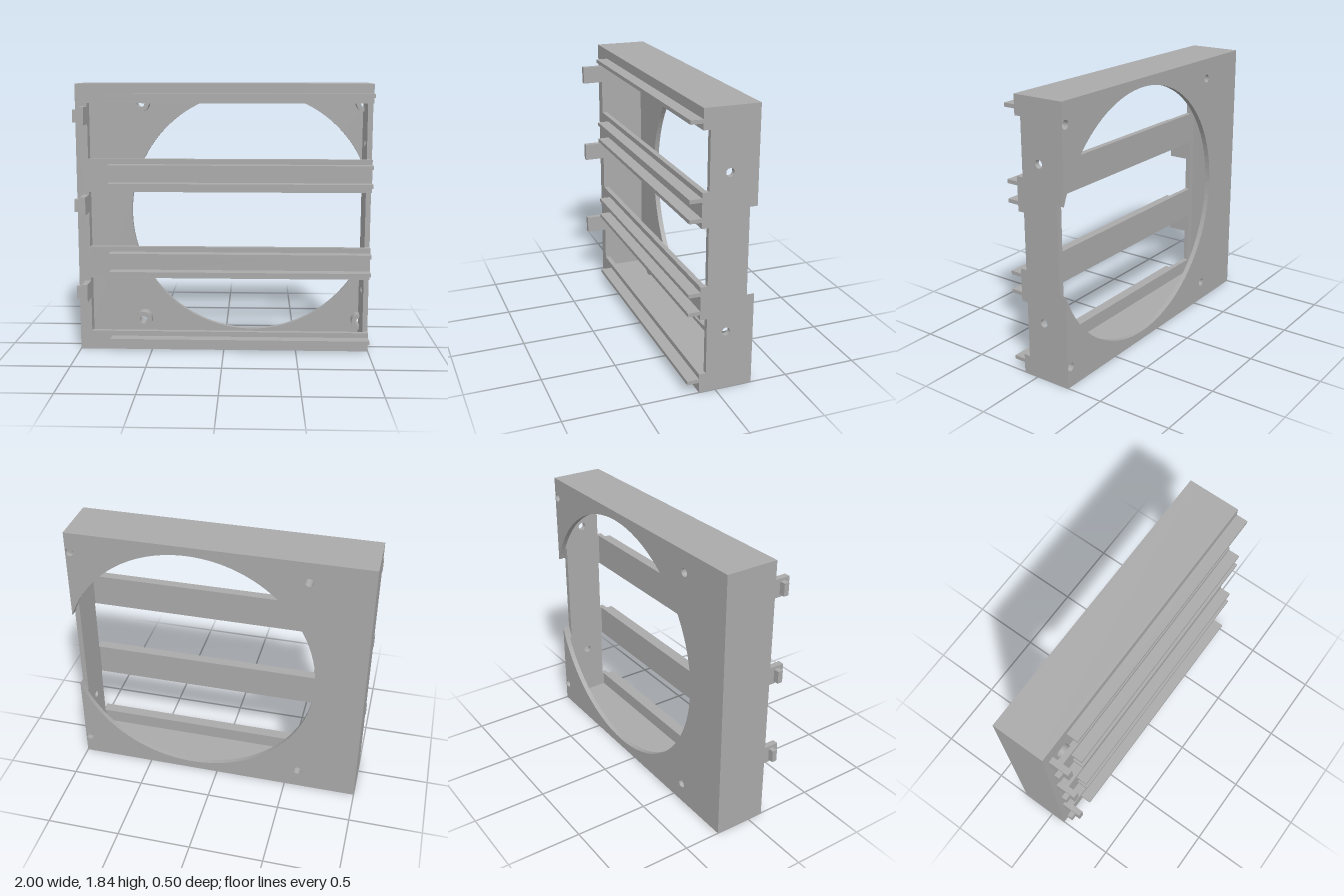
import * as THREE from 'three';

export function createModel() {
  const model = new THREE.Group();
  const grey = new THREE.MeshStandardMaterial({ color: 0xaaaaaa });
  grey.name = 'grey plastic';

  const H = 1.84, T = 0.035;            // height, wall thickness
  const BACK = -0.25, FRONT = 0.11;     // depth limits of the frame
  const IN_BACK = BACK + T, IN_FRONT = FRONT - T;
  const CX = 0.19, CY = 0.92, R = 0.86; // large round opening
  const slots = [[0.13, 0.51], [0.73, 1.11], [1.335, 1.71]];

  const add = (name, geometry) => {
    const mesh = new THREE.Mesh(geometry, grey);
    mesh.name = name;
    model.add(mesh);
    return mesh;
  };
  const box = (name, x0, x1, y0, y1, z0, z1) =>
    add(name, new THREE.BoxGeometry(x1 - x0, y1 - y0, z1 - z0)
      .translate((x0 + x1) / 2, (y0 + y1) / 2, (z0 + z1) / 2));
  const polygon = pts => new THREE.Shape(pts.map(p => new THREE.Vector2(...p)));
  const circle = (x, y, r) => new THREE.Path().absarc(x, y, r, 0, Math.PI * 2, true);
  const extrude = (shape, depth) =>
    new THREE.ExtrudeGeometry(shape, { depth, bevelEnabled: false, curveSegments: 48 });

  // Back plate, whose round opening breaks through the +x edge
  const a = Math.acos((1 - CX) / R), dy = R * Math.sin(a);
  const plate = new THREE.Shape();
  plate.moveTo(-1, 0);
  plate.lineTo(1, 0);
  plate.lineTo(1, CY - dy);
  plate.absarc(CX, CY, R, -a, a, true);
  plate.lineTo(1, H);
  plate.lineTo(-1, H);
  plate.closePath();
  const screws = [];
  for (const sx of [-1, 1]) for (const sy of [-1, 1]) screws.push([CX + sx * 0.78, CY + sy * 0.78]);
  for (const [x, y] of screws) plate.holes.push(circle(x, y, 0.028));
  add('backPlate', extrude(plate, T).translate(0, 0, BACK));

  // Hollow screw bosses; those beside the +x wall are cut off by it
  for (const [x, y] of screws) {
    const s = new THREE.Shape();
    if (x < 0.9) {
      s.absarc(x, y, 0.06, 0, Math.PI * 2, false);
      s.holes.push(circle(x, y, 0.028));
    } else {
      s.absarc(1 - T, y, 0.055, Math.PI / 2, Math.PI * 1.5, false);
      s.absarc(1 - T, y, 0.025, Math.PI * 1.5, Math.PI / 2, true);
    }
    add('screwBoss', extrude(s, 0.08).translate(0, 0, IN_BACK));
  }

  // Top, bottom and -x walls
  box('bottomWall', -1, 1, 0, T, IN_BACK, IN_FRONT);
  box('topWall', -1, 1, H - T, H, IN_BACK, IN_FRONT);
  box('rightWall', -1, -1 + T, T, H - T, IN_BACK, IN_FRONT);

  // +x wall, drawn as (-z, y): shallow slot notches in front and two cable holes
  const edge = [[0.2, H - T], [-IN_FRONT, H - T]];
  for (const [y0, y1] of [...slots].reverse())
    edge.push([-IN_FRONT, y1], [-0.065, y1], [-0.065, y0], [-IN_FRONT, y0]);
  edge.push([-IN_FRONT, T], [0.2, T]);
  const side = polygon(edge);
  for (const y of [0.4, 1.44]) side.holes.push(circle(0.065, y, 0.027));
  add('leftWall', extrude(side, T).rotateY(Math.PI / 2).translate(1 - T, 0, 0));

  // Rear lip of that wall, cut by the round opening
  const dyIn = Math.sqrt(R * R - (1 - T - CX) ** 2);
  for (const s of [-1, 1]) {
    const end = CY + s * (CY - T);
    const lip = polygon([[1 - T, end], [1, end], [1, CY + s * dy], [1 - T, CY + s * dyIn]]);
    add('leftWallLip', extrude(lip, -0.2 - IN_BACK).translate(0, 0, IN_BACK));
  }

  // Front comb: three slots open towards +x
  const comb = [[-1, 0], [1, 0]];
  for (const [y0, y1] of slots) comb.push([1, y0], [-0.92, y0], [-0.92, y1], [1, y1]);
  comb.push([1, H], [-1, H]);
  add('frontFrame', extrude(polygon(comb), T).translate(0, 0, IN_FRONT));

  // Guide rails above and below each slot
  for (const y of [0.083, 0.557, 0.683, 1.163, 1.288, 1.763])
    box('guideRail', -0.78, 1, y - 0.0125, y + 0.0125, FRONT, 0.19);

  // Stop clips with a small outer tab
  for (const y of [0.43, 1.03, 1.63]) {
    box('clip', -0.96, -0.92, y - 0.06, y + 0.06, FRONT, 0.25);
    box('clipTab', -1, -0.96, y - 0.042, y + 0.042, 0.18, 0.215);
  }

  return model;
}
